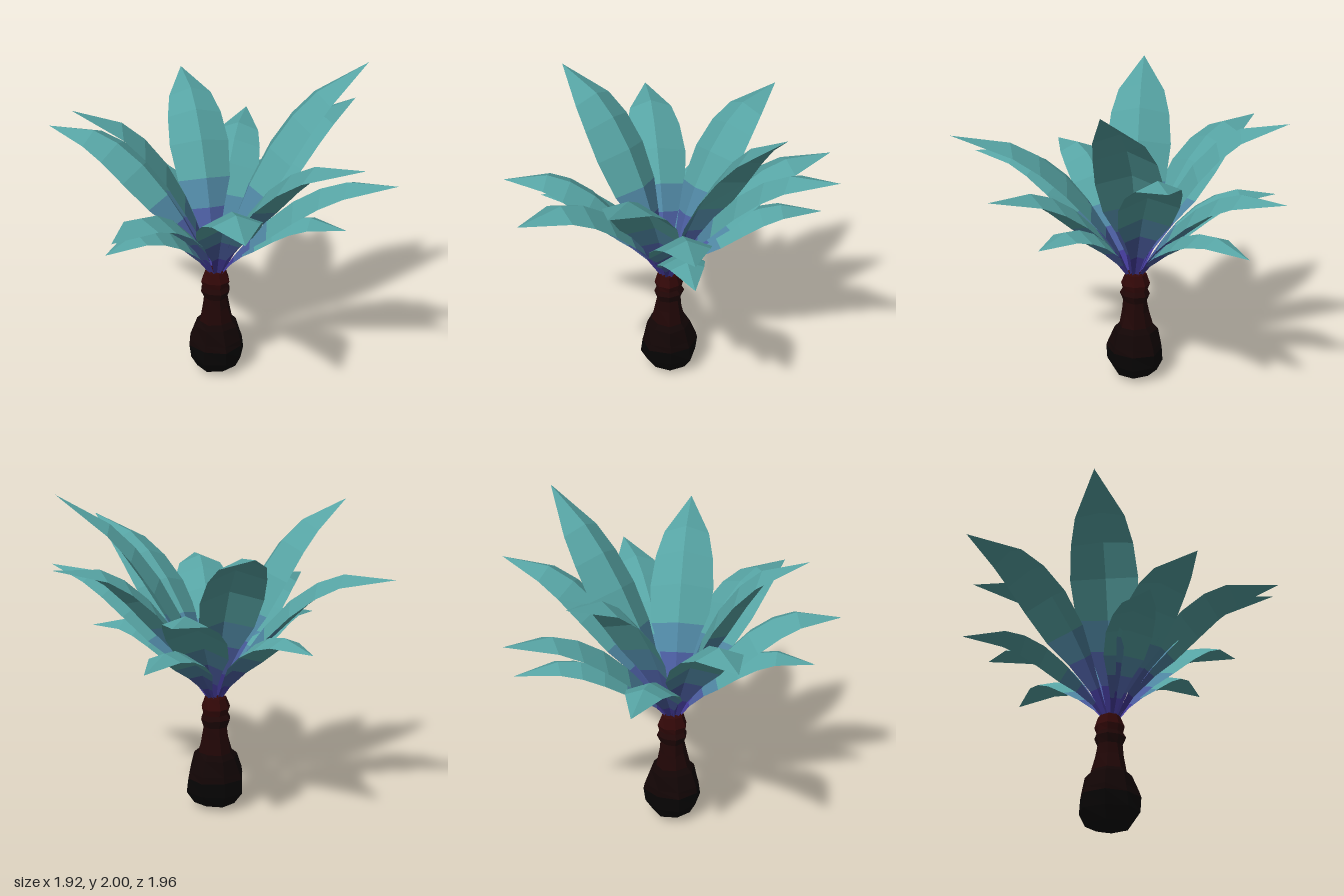
import * as THREE from 'three';

const CX = -0.1, CZ = -0.055;
const mat = (color) => new THREE.MeshStandardMaterial({ color, flatShading: true, side: THREE.DoubleSide });

// Leaves: tip x, y, z, half width, bend reach (share of the tip's), bend height, sideways sway
const LEAVES = [
  [0.85, 2.0, 0.04, 0.205, 0.33, 1.78, 0.11], [-0.96, 1.91, -0.04, 0.205, 0.3, 1.83, 0],
  [0, 1.75, -0.98, 0.19, 0.36, 1.82, 0], [0.39, 1.74, 0.96, 0.2, 0.36, 1.72, 0],
  [0.96, 1.63, -0.33, 0.18, 0.45, 1.73, 0], [0.75, 1.47, 0.68, 0.18, 0.47, 1.56, 0],
  [-0.31, 1.43, 0.98, 0.19, 0.45, 1.66, 0], [-0.92, 1.34, 0.54, 0.17, 0.47, 1.57, 0],
  [-0.94, 1.54, -0.78, 0.19, 0.45, 1.72, 0], [0.46, 1.41, -0.97, 0.18, 0.45, 1.54, 0],
  [0.56, 1.11, -0.77, 0.14, 0.47, 1.34, 0], [-0.89, 1.13, 0.27, 0.14, 0.47, 1.38, 0],
  [-0.37, 1.18, -0.93, 0.15, 0.45, 1.4, 0], [0.55, 1.11, 0.44, 0.14, 0.47, 1.33, 0],
];
// Stations along a leaf and its relative half width there
const STATIONS = [0, 0.1, 0.2, 0.3, 0.45, 0.6, 0.74, 1];
const WIDTHS = [0.06, 0.24, 0.55, 0.88, 1, 0.91, 0.72, 0];
// Colour bands: [first station, last station, material, name]
const BANDS = [
  [0, 1, mat(0x433a98), 'leafStem'],
  [1, 2, mat(0x4a5c9e), 'leafBase'],
  [2, 3, mat(0x4f86a2), 'leafThroat'],
  [3, 7, mat(0x56a3a3), 'leafBlade'],
];

// Tent-shaped cross-section, folded square to the leaf: left edge, midrib, right edge
function leafRow(curve, side, w, i) {
  const p = curve.getPoint(STATIONS[i]);
  const half = w * WIDTHS[i];
  const under = new THREE.Vector3().crossVectors(side, curve.getTangent(STATIONS[i])).normalize();
  return [-1, 0, 1].map((s) => p.clone()
    .addScaledVector(side, s * half)
    .addScaledVector(under, Math.abs(s) * half * 0.42));
}

function makeLeaf([x, y, z, w, bendReach, bendY, sway]) {
  const leaf = new THREE.Group();
  leaf.name = 'leaf';
  const tip = new THREE.Vector3(x, y, z);
  const dir = new THREE.Vector3(x - CX, 0, z - CZ);
  const reach = dir.length();
  dir.normalize();
  const side = new THREE.Vector3(dir.z, 0, -dir.x);
  const base = new THREE.Vector3(CX, 0.67, CZ).addScaledVector(dir, 0.015);
  const bend = new THREE.Vector3(CX, bendY, CZ).addScaledVector(dir, reach * bendReach).addScaledVector(side, sway);
  const curve = new THREE.QuadraticBezierCurve3(base, bend, tip);
  for (const [first, last, material, name] of BANDS) {
    const pos = [];
    for (let i = first; i < last; i++) {
      const a = leafRow(curve, side, w, i), b = leafRow(curve, side, w, i + 1);
      for (let k = 0; k < 2; k++) {
        const tris = i === STATIONS.length - 2
          ? [a[k], a[k + 1], b[k]]
          : [a[k], a[k + 1], b[k + 1], a[k], b[k + 1], b[k]];
        tris.forEach((p) => pos.push(p.x, p.y, p.z));
      }
    }
    const geo = new THREE.BufferGeometry();
    geo.setAttribute('position', new THREE.Float32BufferAttribute(pos, 3));
    geo.computeVertexNormals();
    const mesh = new THREE.Mesh(geo, material);
    mesh.name = name;
    leaf.add(mesh);
  }
  return leaf;
}

// Faceted lathe with a slight unevenness around its axis
function makeTrunkPart(name, profile, color) {
  const geo = new THREE.LatheGeometry(profile.map(([r, y]) => new THREE.Vector2(r, y)), 8);
  const p = geo.attributes.position;
  for (let i = 0; i < p.count; i++) {
    const x = p.getX(i), y = p.getY(i), z = p.getZ(i);
    const k = 1 + 0.05 * Math.sin(3 * Math.atan2(z, x) + y * 17);
    p.setXYZ(i, x * k, y, z * k);
  }
  geo.computeVertexNormals();
  const mesh = new THREE.Mesh(geo, mat(color));
  mesh.name = name;
  mesh.position.set(CX, 0, CZ - 0.01);
  return mesh;
}

export function createModel() {
  const group = new THREE.Group();
  group.name = 'plant';

  // Swollen foot, neck and knobbly crown of the trunk
  group.add(makeTrunkPart('trunkFoot', [[0, 0], [0.06, 0.01], [0.135, 0.035], [0.18, 0.11], [0.18, 0.2]], 0x060404));
  group.add(makeTrunkPart('trunkBulb', [[0.18, 0.2], [0.17, 0.24], [0.14, 0.335], [0.108, 0.365]], 0x120505));
  group.add(makeTrunkPart('trunkNeck', [[0.108, 0.365], [0.086, 0.46], [0.076, 0.53], [0.096, 0.58], [0.08, 0.61]], 0x200606));
  group.add(makeTrunkPart('trunkCrown', [[0.08, 0.61], [0.092, 0.65], [0.068, 0.715], [0.018, 0.74], [0.008, 0.86], [0, 0.87]], 0x320808));

  // Rosette of leaves
  const foliage = new THREE.Group();
  foliage.name = 'foliage';
  LEAVES.forEach((l) => foliage.add(makeLeaf(l)));
  group.add(foliage);
  return group;
}
